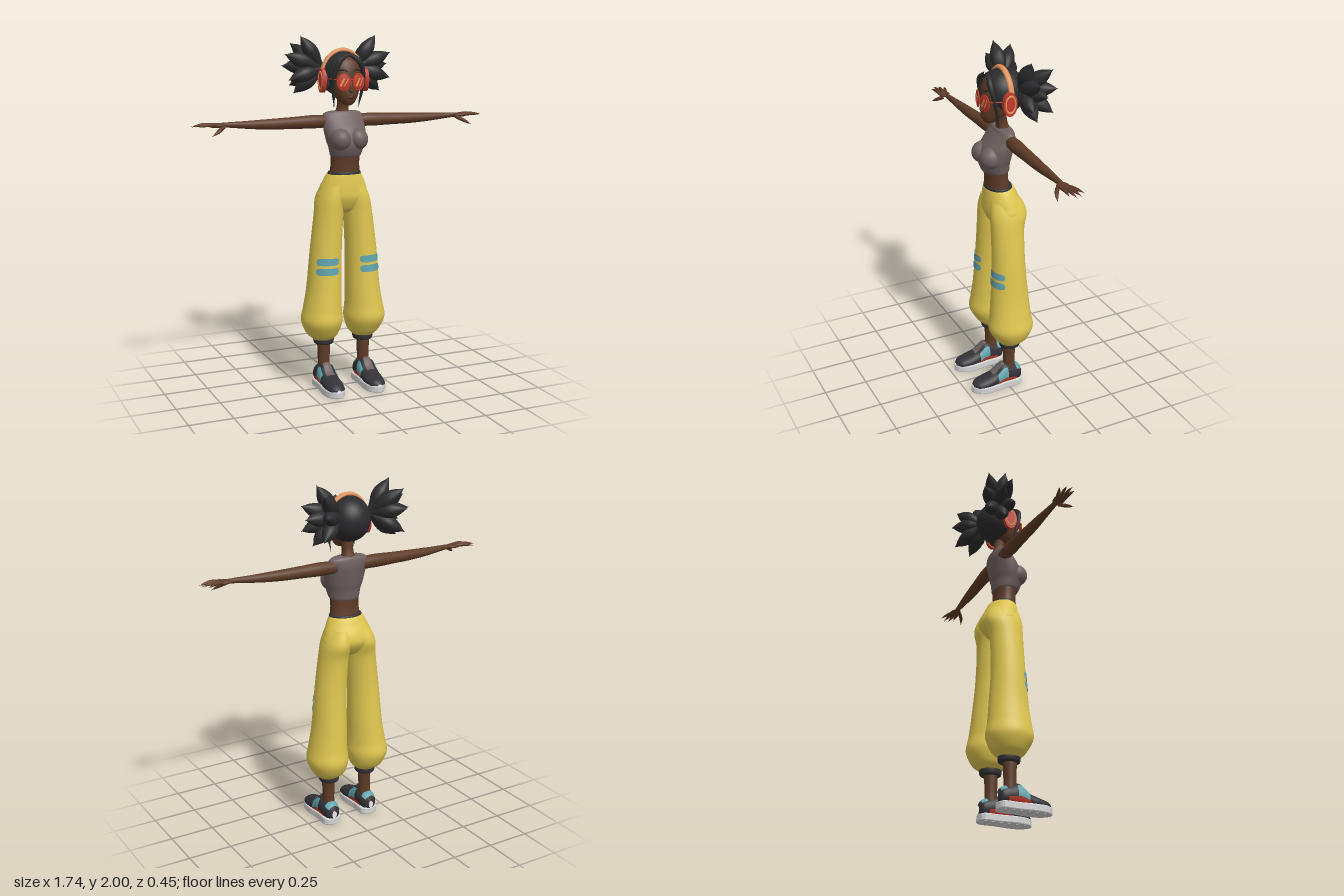
import * as THREE from 'three';
import { mergeVertices } from 'three/addons/utils/BufferGeometryUtils.js';

const mat = (name, color, side = THREE.FrontSide) => {
  const m = new THREE.MeshStandardMaterial({ color, side });
  m.name = name;
  return m;
};

// Drops seams and gives smooth normals
function smooth(geo) {
  geo.deleteAttribute('uv');
  geo.deleteAttribute('normal');
  const g = mergeVertices(geo, 1e-5);
  g.computeVertexNormals();
  return g;
}

// Catmull-Rom value of component k at section index t
function sample(rows, k, t) {
  const n = rows.length - 1, i = Math.min(Math.floor(t), n - 1), f = t - i;
  const v = j => rows[Math.max(0, Math.min(n, j))][k];
  const [a, b, c, d] = [v(i - 1), v(i), v(i + 1), v(i + 2)];
  return b + 0.5 * f * (c - a + f * (2 * a - 5 * b + 4 * c - d + f * (3 * (b - c) + d - a)));
}

// Skin over elliptical sections [y, cx, cz, rx, rz], listed upwards.
// A limited t/a range with an offset gives a thin patch on the same surface.
function loft(rows, { s = 1, t = [0, rows.length - 1], a = [-Math.PI, Math.PI], off = 0, rows: nv = 40, sides = 32, round = false } = {}) {
  const pos = [], idx = [];
  const [a0, a1] = s > 0 ? a : [-a[1], -a[0]];
  const mid = (t[0] + t[1]) / 2, half = (t[1] - t[0]) / 2;
  for (let i = 0; i <= nv; i++) {
    for (let j = 0; j <= sides; j++) {
      const u = j / sides * 2 - 1, ang = a0 + (a1 - a0) * j / sides;
      const tv = mid + half * (i / nv * 2 - 1) * (round ? Math.sqrt(1 - u ** 8) : 1);
      const [y, cx, cz, rx, rz] = [0, 1, 2, 3, 4].map(k => sample(rows, k, tv));
      pos.push(s * cx + (rx + off) * Math.sin(ang), y, cz + (rz + off) * Math.cos(ang));
      if (i < nv && j < sides) {
        const p = i * (sides + 1) + j, q = p + sides + 1;
        idx.push(p, p + 1, q + 1, p, q + 1, q);
      }
    }
  }
  const g = new THREE.BufferGeometry();
  g.setAttribute('position', new THREE.Float32BufferAttribute(pos, 3));
  g.setIndex(idx);
  return smooth(g);
}

// Tube with a changing radius through points [x, y, z, r]
function taper(points, s = 1, seg = 20, sides = 12) {
  const curve = new THREE.CatmullRomCurve3(points.map(p => new THREE.Vector3(s * p[0], p[1], p[2])));
  const g = new THREE.TubeGeometry(curve, seg, 1, sides), p = g.attributes.position, v = new THREE.Vector3();
  for (let i = 0; i < p.count; i++) {
    const u = Math.floor(i / (sides + 1)) / seg, c = curve.getPointAt(u);
    const r = Math.max(0.0005, sample(points, 3, u * (points.length - 1)));
    v.fromBufferAttribute(p, i).sub(c).multiplyScalar(r).add(c);
    p.setXYZ(i, v.x, v.y, v.z);
  }
  return smooth(g);
}

const ball = (x, y, z, rx, ry, rz) => new THREE.SphereGeometry(1, 24, 16).scale(rx, ry, rz).translate(x, y, z);

export function createModel() {
  const model = new THREE.Group();
  const skin = mat('skin brown', 0x5e3b27), hair = mat('hair black', 0x2b2b2d), yellow = mat('trouser yellow', 0xe0c750);
  const taupe = mat('top taupe', 0x6e605f), blue = mat('accent blue', 0x62a5ae, THREE.DoubleSide);
  const red = mat('accent red', 0xc23a2a, THREE.DoubleSide), peach = mat('headband peach', 0xe0935a);
  const white = mat('sole white', 0xd4d4d4), dark = mat('charcoal', 0x323237), lip = mat('lip brown', 0x4a2620);
  const add = (name, geo, material) => {
    const m = new THREE.Mesh(geo, material);
    m.name = name;
    model.add(m);
    return m;
  };

  // Torso
  add('top', loft([[1.338, 0, .01, .07, .055], [1.342, 0, .012, .086, .073], [1.39, 0, .02, .1, .085], [1.43, 0, .016, .113, .089],
    [1.48, 0, .004, .121, .084], [1.53, 0, -.018, .122, .067], [1.568, 0, -.03, .116, .05], [1.585, 0, -.03, .085, .04], [1.588, 0, -.03, .02, .02]]), taupe);
  add('waist', loft([[1.2, 0, 0, .09, .068], [1.25, 0, .003, .087, .064], [1.3, 0, .007, .083, .062], [1.36, 0, .01, .084, .066]]), skin);
  add('waistband', loft([[1.21, 0, -.005, .1, .076], [1.25, 0, -.003, .094, .074], [1.253, 0, 0, .08, .06]]), dark);
  add('neck', taper([[0, 1.55, -.035, .045], [0, 1.6, -.028, .032], [0, 1.68, -.015, .036]]), skin);

  // Trousers, with knee patches lying on the leg surface
  add('trouserSeat', loft([[1.015, 0, -.02, .03, .03], [1.04, 0, -.022, .1, .07], [1.1, 0, -.028, .15, .106], [1.15, 0, -.025, .14, .106],
    [1.2, 0, -.015, .12, .092], [1.24, 0, -.008, .098, .08], [1.243, 0, -.005, .085, .07]]), yellow);
  const leg = [[.285, .125, -.02, .05, .05], [.3, .125, -.02, .07, .07], [.33, .128, -.025, .095, .1], [.4, .132, -.022, .117, .132],
    [.48, .128, -.02, .108, .122], [.6, .118, -.02, .098, .11], [.8, .108, -.018, .09, .096], [1, .09, -.02, .082, .096],
    [1.1, .078, -.03, .077, .108], [1.18, .06, -.022, .06, .09]];

  // Shoe upper, sections run from heel to toe
  const shoe = [[-.09, .125, -.065, .015, .025], [-.07, .125, -.072, .043, .05], [-.02, .125, -.08, .05, .06], [.03, .125, -.085, .051, .068],
    [.08, .125, -.064, .054, .046], [.13, .125, -.053, .056, .038], [.19, .125, -.045, .045, .028], [.218, .125, -.042, .012, .01]];
  const shoePart = opts => loft(shoe, opts).rotateX(Math.PI / 2);

  for (const s of [1, -1]) {
    const side = s > 0 ? 'left' : 'right';
    const put = (name, geo, m) => add(side + name, geo, m);
    put('Bust', ball(s * .05, 1.437, .062, .06, .062, .064), taupe);
    put('TrouserLeg', loft(leg, { s, rows: 60 }), yellow);
    for (const t of [[5.43, 5.62], [5.69, 5.88]])
      put('KneePatch', loft(leg, { s, t, a: [-.52, .95], off: .004, rows: 6, round: true }), blue);
    put('AnkleCuff', loft([[.262, .122, -.02, .035, .035], [.266, .122, -.02, .055, .058], [.3, .122, -.02, .058, .06], [.305, .122, -.02, .04, .04]], { s }), dark);
    put('Shin', loft([[.08, .123, -.018, .036, .036], [.16, .123, -.016, .034, .034], [.28, .123, -.016, .038, .038]], { s }), skin);

    // Shoe with side panels and tongue
    put('ShoeUpper', shoePart({ s }), dark);
    const outline = new THREE.Shape().setFromPoints(new THREE.SplineCurve([[0, -.085], [.044, -.065], [.044, .02], [.053, .11], [.043, .18],
      [0, .217], [-.043, .18], [-.053, .11], [-.044, .02], [-.044, -.065], [0, -.085]].map(p => new THREE.Vector2(...p))).getPoints(40));
    const sole = new THREE.ExtrudeGeometry(outline, { depth: .03, bevelSize: .008, bevelThickness: .006, bevelSegments: 2 });
    put('ShoeSole', sole.rotateX(Math.PI / 2).translate(s * .125, .038, 0), white);
    for (let i = 0; i < 6; i++)
      put('SoleTread', new THREE.BoxGeometry(.08, .006, .018).translate(s * .125, .003, -.06 + i * .045), white);
    for (const k of [1, -1]) {
      const range = (lo, hi) => k > 0 ? [lo, hi] : [-hi, -lo];
      put('ShoePanel', shoePart({ s, t: [2.6, 3.9], a: range(1.4, 2.35), off: .003, rows: 10, sides: 10 }), blue);
      put('ShoeStripe', shoePart({ s, t: [1.6, 4], a: range(.95, 1.38), off: .003, rows: 10, sides: 6 }), red);
    }
    put('ShoeHeelTab', shoePart({ s, t: [.7, 1.5], a: [2.2, 4.08], off: .003, rows: 6, sides: 10 }), blue);
    put('ShoeTongue', shoePart({ s, t: [2.9, 4.4], a: [2.72, 3.56], off: .004, rows: 8, sides: 8 }), taupe);

    // Arm and hand
    put('Arm', taper([[.07, 1.53, -.033, .034], [.14, 1.532, -.03, .037], [.28, 1.531, -.026, .033], [.42, 1.53, -.021, .03],
      [.56, 1.533, -.015, .025], [.67, 1.538, -.008, .018], [.72, 1.539, -.006, .012]], s, 30, 18), skin);
    put('Palm', ball(s * .73, 1.538, -.004, .05, .013, .032), skin);
    for (const [x, z, b] of [[.843, .027, .019], [.87, .002, .006], [.865, -.026, -.009], [.84, -.055, -.022]])
      put('Finger', taper([[.735, 1.54, b, .008], [(.75 + x) / 2, 1.543, (b + z) / 2, .009], [x - .008, 1.537, z, .007], [x, 1.535, z, 0]], s, 12, 8), skin);
    put('Thumb', taper([[.695, 1.532, .008, .01], [.73, 1.512, .035, .011], [.768, 1.49, .052, .008], [.778, 1.486, .055, 0]], s, 12, 8), skin);

    // Gathered hair puff and tie
    const base = [.1, 1.82, -.085];
    for (const tip of [[.225, 1.998, -.085], [.245, 1.955, -.2], [.318, 1.9, -.085], [.25, 1.85, -.228], [.32, 1.835, -.135],
      [.305, 1.76, -.06], [.262, 1.685, -.105], [.25, 1.72, -.205]]) {
      const at = (f, r) => [...base.map((b, k) => b + (tip[k] - b) * f), r];
      put('HairLobe', taper([at(0, .018), at(.3, .026), at(.6, .04), at(.8, .041), at(.94, .025), at(1, 0)], s, 20, 12), hair);
    }
    const tie = put('HairTie', new THREE.TorusGeometry(.033, .008, 8, 24), blue);
    tie.position.set(s * .122, 1.82, -.1);
    tie.rotation.y = s * 1.1;

    // Loose front strand and brow
    put('HairStrand', taper([[.015, 1.895, .06, .012], [.058, 1.862, .072, .016], [.085, 1.79, .062, .013], [.085, 1.7, .043, .01],
      [.075, 1.63, .03, .007], [.074, 1.6, .025, 0]], s, 24, 8), hair);
    put('Brow', taper([[.016, 1.808, .083, .003], [.045, 1.818, .074, .006], [.074, 1.808, .054, .002]], s, 10, 6), hair);

    // Round glasses
    const lens = new THREE.Group();
    lens.name = side + 'Lens';
    const glass = new THREE.Mesh(ball(0, 0, 0, .036, .044, .007), red);
    glass.name = 'lensGlass';
    const rim = new THREE.Mesh(new THREE.TorusGeometry(.036, .0035, 8, 32).scale(1, 1.22, 1), red);
    rim.name = 'lensRim';
    lens.add(glass, rim);
    for (const [x, w] of [[-.008, .012], [.014, .006]]) {
      const glint = new THREE.Mesh(new THREE.BoxGeometry(w, .05, .002), peach);
      glint.name = 'lensGlint';
      glint.position.set(x, 0, .0065);
      glint.rotation.z = -.5;
      lens.add(glint);
    }
    lens.position.set(s * .044, 1.752, .093);
    lens.rotation.y = s * .22;
    model.add(lens);
    put('GlassesArm', taper([[.08, 1.765, .085, .003], [.1, 1.768, .05, .003], [.115, 1.768, 0, .003]], s, 8, 6), red);

    // Headphone cup
    const cup = (r, w, x) => new THREE.CylinderGeometry(r, r, w, 28).rotateZ(Math.PI / 2).scale(1, 1.65, 1).translate(s * x, 1.757, -.012);
    put('EarCushion', cup(.034, .03, .11), dark);
    put('EarCup', cup(.04, .022, .127), red);
    put('EarCupRing', new THREE.TorusGeometry(.028, .004, 8, 28).rotateY(Math.PI / 2).scale(1, 1.65, 1).translate(s * .138, 1.757, -.012), peach);
  }

  // Head and face
  add('head', loft([[1.622, 0, .05, .004, .004], [1.626, 0, .048, .022, .022], [1.645, 0, .036, .045, .048], [1.68, 0, .016, .068, .076], [1.73, 0, -.003, .088, .091],
    [1.78, 0, -.014, .098, .1], [1.83, 0, -.02, .1, .098], [1.875, 0, -.025, .08, .078], [1.9, 0, -.025, .02, .02]]), skin);
  add('nose', ball(0, 1.705, .09, .014, .012, .013), skin);
  add('noseBridge', taper([[0, 1.77, .083, .005], [0, 1.735, .091, .008], [0, 1.705, .095, .008]]), skin);
  add('mouth', ball(0, 1.668, .088, .02, .008, .008), lip);
  add('glassesBridge', new THREE.CylinderGeometry(.003, .003, .026, 8).rotateZ(Math.PI / 2).translate(0, 1.765, .1), red);

  // Hair cap, sunk behind the face below the hairline
  const cap = new THREE.SphereGeometry(1, 72, 48).scale(.119, .125, .125), p = cap.attributes.position;
  for (let i = 0; i < p.count; i++) {
    const y = p.getY(i) + 1.79, w = .083 * Math.sqrt(Math.max(0, Math.min(1, (1.885 - y) / .08)));
    if (p.getZ(i) > .03 && Math.abs(p.getX(i)) < w) p.setZ(i, p.getZ(i) * .3);
  }
  add('hairCap', smooth(cap.translate(0, 1.79, -.035)), hair);

  // Headphone band
  add('headphoneBand', new THREE.TorusGeometry(.127, .01, 10, 40, Math.PI).scale(1, 1.2, 1.6).translate(0, 1.768, -.025), peach);
  return model;
}
